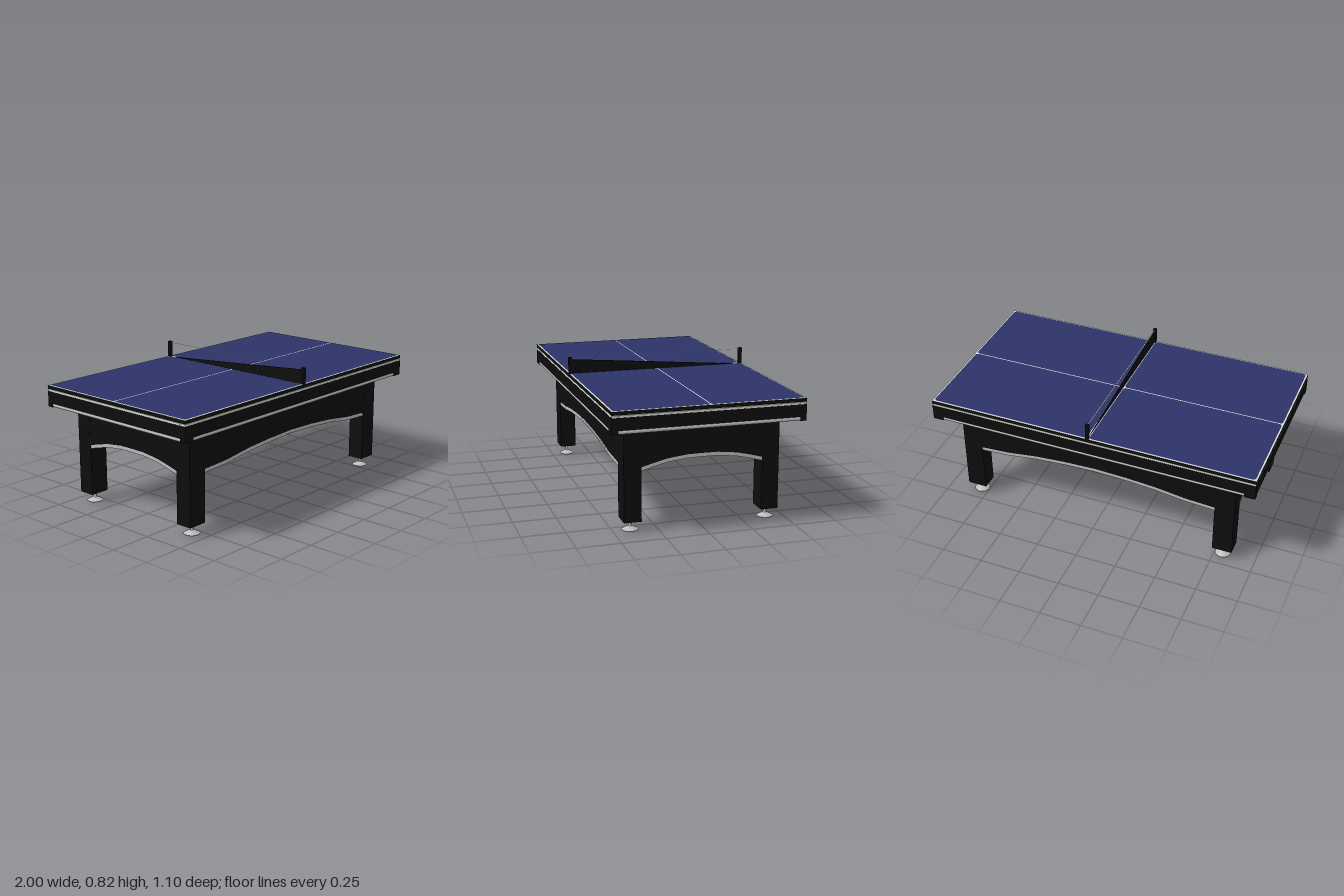
import * as THREE from 'three';

const mat = (name, color) => Object.assign(new THREE.MeshStandardMaterial({ color }), { name });

export function createModel() {
  const root = new THREE.Group();
  root.name = 'tableTennisTable';
  const black = mat('black', 0x0d0d0d);
  const blue = mat('table blue', 0x2c3368);
  const white = mat('line white', 0xdcdcd8);
  const silver = mat('silver', 0xbcbcbc);
  blue.side = white.side = THREE.DoubleSide;

  const add = (name, geo, material, parent = root) => {
    const m = new THREE.Mesh(geo, material);
    m.name = name;
    parent.add(m);
    return m;
  };
  // Box given by its minimum and maximum corners
  const box = (name, x0, x1, y0, y1, z0, z1, material, parent) => {
    const m = add(name, new THREE.BoxGeometry(x1 - x0, y1 - y0, z1 - z0), material, parent);
    m.position.set((x0 + x1) / 2, (y0 + y1) / 2, (z0 + z1) / 2);
    return m;
  };

  // Playing top: black edge, white border above, blue underside
  box('topBoard', -1, 1, 0.704, 0.724, -0.55, 0.55, [black, black, white, blue, black, black]);

  // Four blue courts with rounded corners, leaving white lines between them
  const court = (x0, x1, z0, z1, r) => {
    const s = new THREE.Shape();
    s.moveTo(x0 + r, z0);
    s.lineTo(x1 - r, z0);
    s.quadraticCurveTo(x1, z0, x1, z0 + r);
    s.lineTo(x1, z1 - r);
    s.quadraticCurveTo(x1, z1, x1 - r, z1);
    s.lineTo(x0 + r, z1);
    s.quadraticCurveTo(x0, z1, x0, z1 - r);
    s.lineTo(x0, z0 + r);
    s.quadraticCurveTo(x0, z0, x0 + r, z0);
    return new THREE.ShapeGeometry(s, 4).rotateX(-Math.PI / 2);
  };
  for (const [x0, x1] of [[-0.99, -0.008], [0.008, 0.99]]) {
    for (const [z0, z1] of [[-0.54, -0.003], [0.003, 0.54]]) {
      add('court', court(x0, x1, z0, z1, 0.02), blue).position.y = 0.7255;
    }
  }

  // Seam between the two halves, seen from below
  box('seam', -0.003, 0.003, 0.701, 0.705, -0.5, 0.5, black);

  // Net, sloping from the front post to the back, with tape and posts
  const netShape = new THREE.Shape([
    new THREE.Vector2(-0.535, 0.72), new THREE.Vector2(0.535, 0.72),
    new THREE.Vector2(0.48, 0.726), new THREE.Vector2(-0.535, 0.81),
  ]);
  const netGeo = new THREE.ExtrudeGeometry(netShape, { depth: 0.004, bevelEnabled: false });
  add('net', netGeo.translate(0, 0, -0.002).rotateY(Math.PI / 2), black);
  const tape = add('netTape', new THREE.PlaneGeometry(0.007, 1.07).rotateX(-Math.PI / 2), white);
  tape.position.y = 0.815;
  for (const s of [-1, 1]) {
    box('netPost', -0.01, 0.01, 0.704, 0.822, s * 0.541 - 0.01, s * 0.541 + 0.01, black);
  }

  // Open cabinet: walls, white top trim, corner blocks and silver lower rails
  const wall = 0.04;
  for (const s of [-1, 1]) {
    const zc = s * (0.55 - wall / 2), xc = s * (1 - wall / 2);
    box('longWall', -1, 1, 0.62, 0.689, zc - wall / 2, zc + wall / 2, black);
    box('endWall', xc - wall / 2, xc + wall / 2, 0.62, 0.689, -0.51, 0.51, black);
    box('longTopTrim', -0.997, 0.997, 0.689, 0.701, zc - 0.018, zc + 0.018, white);
    box('endTopTrim', xc - 0.018, xc + 0.018, 0.689, 0.701, -0.51, 0.51, white);

    box('longLowerBacking', -0.935, 0.935, 0.597, 0.62, s * 0.525 - 0.012, s * 0.525 + 0.012, black);
    box('endLowerBacking', s * 0.975 - 0.012, s * 0.975 + 0.012, 0.597, 0.62, -0.515, 0.515, black);
    const rail = (len) => new THREE.CylinderGeometry(0.012, 0.012, len, 12);
    add('longRail', rail(1.87).rotateZ(Math.PI / 2), silver).position.set(0, 0.609, s * 0.537);
    add('endRail', rail(1.03).rotateX(Math.PI / 2), silver).position.set(s * 0.987, 0.609, 0);
    for (const t of [-1, 1]) {
      box('cornerBlock', s * 0.968 - 0.032, s * 0.968 + 0.032, 0.597, 0.62,
        t * 0.532 - 0.018, t * 0.532 + 0.018, black);
    }
  }

  // Legs with levelling feet
  const footProfile = [[0, 0], [0.047, 0], [0.047, 0.003], [0.012, 0.022], [0.01, 0.026], [0.01, 0.062]]
    .map(([r, y]) => new THREE.Vector2(r, y));
  for (const sx of [-1, 1]) {
    for (const sz of [-1, 1]) {
      box('leg', sx * 0.805 - 0.06, sx * 0.805 + 0.06, 0.06, 0.6, sz * 0.4 - 0.05, sz * 0.4 + 0.05, black);
      const foot = new THREE.LatheGeometry(footProfile, 20).toNonIndexed();
      foot.computeVertexNormals();
      add('foot', foot, silver).position.set(sx * 0.8, 0, sz * 0.4);
    }
  }

  // Arched aprons with a silver strip under the arch; half holds [distance, height]
  const apron = (name, half, dist, angle, bulge) => {
    const g = new THREE.Group();
    g.name = name;
    g.rotation.y = angle;
    root.add(g);
    const arch = [...half.map(([u, y]) => [-u, y]), ...half.slice(0, -1).reverse()];
    const lower = arch.map(([u, y]) => new THREE.Vector2(u, y - 0.021));
    const upper = arch.map(([u, y]) => new THREE.Vector2(u, y));
    const w = half[0][0];
    const panel = [...upper, new THREE.Vector2(w, 0.6), new THREE.Vector2(-w, 0.6)];
    const strip = [...lower, ...upper.slice().reverse()];
    for (const [part, pts, m] of [['apronPanel', panel, black], ['archStrip', strip, silver]]) {
      const geo = new THREE.ExtrudeGeometry(new THREE.Shape(pts), { depth: 0.03, bevelEnabled: false });
      geo.translate(0, 0, dist - 0.03);
      const p = geo.attributes.position;
      // Gentle outward bow of the lower middle
      for (let i = 0; i < p.count; i++) {
        if (p.getY(i) < 0.5) p.setZ(i, p.getZ(i) + bulge * (1 - (p.getX(i) / w) ** 2));
      }
      geo.computeVertexNormals();
      add(part, geo, m, g);
    }
  };
  const longArch = [[0.75, 0.373], [0.57, 0.384], [0.38, 0.41], [0.2, 0.424], [0, 0.431]];
  const endArch = [[0.35, 0.37], [0.28, 0.389], [0.2, 0.408], [0.09, 0.421], [0, 0.422]];
  apron('frontApron', longArch, 0.449, 0, 0.01);
  apron('backApron', longArch, 0.449, Math.PI, 0);
  apron('leftApron', endArch, 0.864, Math.PI / 2, 0);
  apron('rightApron', endArch, 0.864, -Math.PI / 2, 0);

  return root;
}
